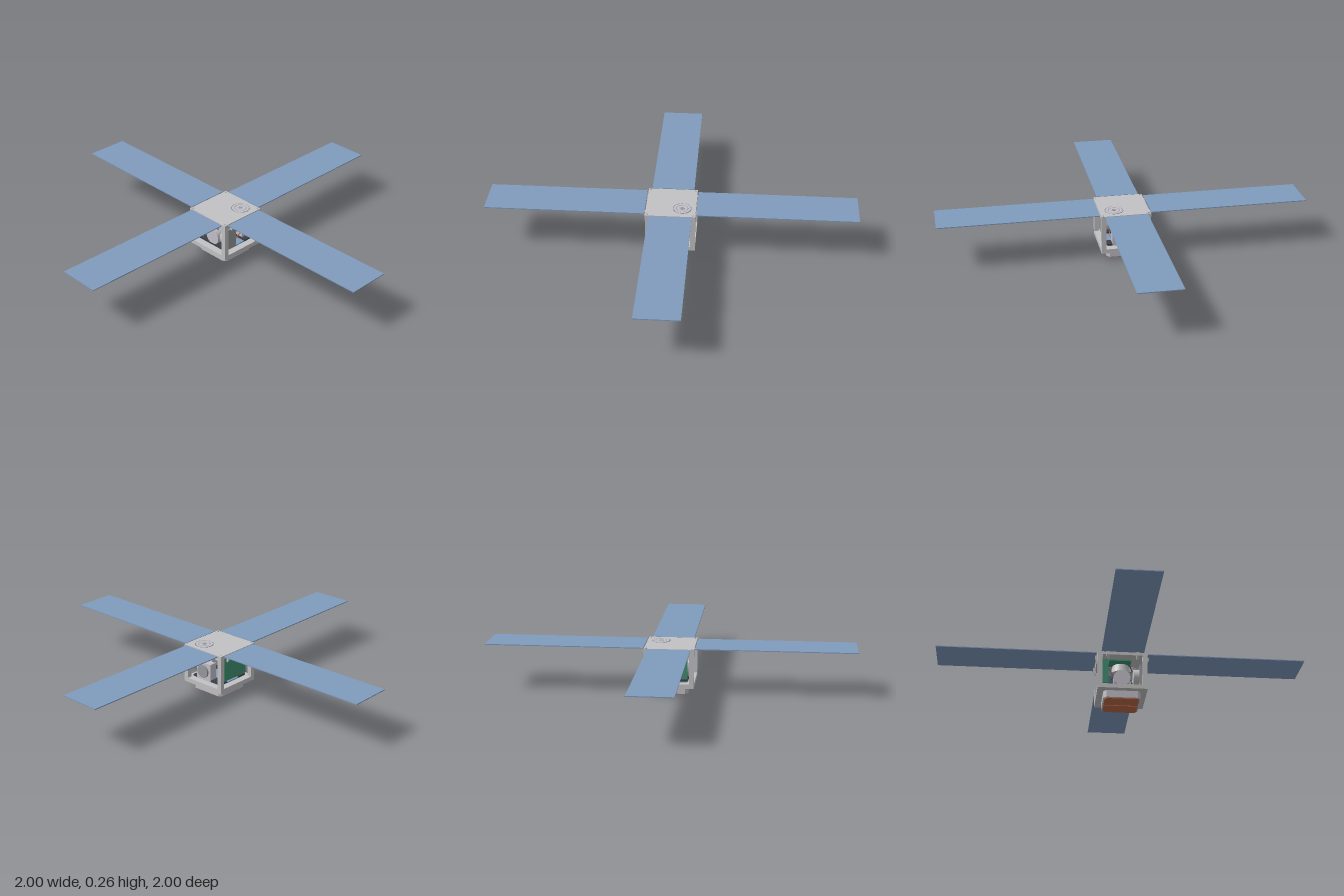
import * as THREE from 'three';

const mat = (name, color, side = THREE.FrontSide) => {
  const m = new THREE.MeshStandardMaterial({ color, side });
  m.name = name;
  return m;
};

export function createModel() {
  const root = new THREE.Group();
  root.name = 'cubeSatellite';
  const grey = mat('aluminium', 0xc2c2c4);
  const pale = mat('paleGrey', 0xc2bfc7);
  const steel = mat('steelGrey', 0x96989c);
  const blue = mat('solarBlue', 0x809bbd);
  const green = mat('boardGreen', 0x3f8f70);
  const copper = mat('copperBrown', 0xb9694a);
  const dark = mat('darkGrey', 0x3c3f44);
  const orange = mat('wireOrange', 0xc8643c);

  const add = (name, geo, m, x = 0, y = 0, z = 0, parent = root) => {
    const mesh = new THREE.Mesh(geo, m);
    mesh.name = name;
    mesh.position.set(x, y, z);
    parent.add(mesh);
    return mesh;
  };
  const box = (name, m, w, h, d, x, y, z, parent) =>
    add(name, new THREE.BoxGeometry(w, h, d), m, x, y, z, parent);
  const cyl = (name, m, r, h, x, y, z, axis = 'y', r2 = r) => {
    const c = add(name, new THREE.CylinderGeometry(r, r2, h, 40), m, x, y, z);
    if (axis === 'z') c.rotation.x = Math.PI / 2;
    if (axis === 'x') c.rotation.z = -Math.PI / 2;
    return c;
  };
  const wire = (name, m, pts, r = 0.0025) => add(name, new THREE.TubeGeometry(
    new THREE.CatmullRomCurve3(pts.map(p => new THREE.Vector3(...p))), 24, r, 8), m);

  // Open frame with lids
  box('bottomDeck', grey, 0.268, 0.024, 0.268, 0, 0.056, 0);
  box('topDeck', grey, 0.268, 0.02, 0.268, 0, 0.25, 0);
  for (const x of [-1, 1]) for (const z of [-1, 1]) {
    box('cornerPost', grey, 0.026, 0.172, 0.026, x * 0.121, 0.154, z * 0.121);
    cyl('deckScrew', steel, 0.004, 0.002, x * 0.122, 0.2608, z * 0.122);
  }

  // Four deployed arms, each with hinges beneath its root
  for (let i = 0; i < 4; i++) {
    const arm = new THREE.Group();
    arm.name = 'solarArm';
    arm.rotation.y = i * Math.PI / 2;
    root.add(arm);
    box('solarPanel', blue, 0.861, 0.005, 0.23, 0.5695, 0.257, 0, arm);
    for (const z of [-0.08, 0.08]) {
      const s = new THREE.Shape();
      s.moveTo(0.13, 0.216);
      s.lineTo(0.136, 0.216);
      s.lineTo(0.146, 0.235);
      s.lineTo(0.146, 0.254);
      s.lineTo(0.13, 0.254);
      s.closePath();
      add('hinge', new THREE.ExtrudeGeometry(s, { depth: 0.014, bevelEnabled: false }),
        grey, 0, 0, z - 0.007, arm);
    }
  }

  // Bevelled base block with twin copper antenna plates
  const base = new THREE.Shape();
  const a = 0.1, c = 0.084;
  [[a, c], [c, a], [-c, a], [-a, c], [-a, -c], [-c, -a], [c, -a], [a, -c]]
    .forEach(([x, z], i) => i ? base.lineTo(x, z) : base.moveTo(x, z));
  base.closePath();
  const baseGeo = new THREE.ExtrudeGeometry(base, { depth: 0.04, bevelEnabled: false });
  baseGeo.rotateX(-Math.PI / 2);
  add('baseBlock', baseGeo, pale, 0, 0.005, 0);
  for (const s of [-1, 1]) {
    const plate = new THREE.Shape();
    [[-0.093, 0.004], [0.093, 0.004], [0.093, 0.08], [0.08, 0.093], [-0.08, 0.093], [-0.093, 0.08]]
      .forEach(([x, z], i) => i ? plate.lineTo(x, z) : plate.moveTo(x, z));
    plate.closePath();
    const g = new THREE.ExtrudeGeometry(plate, { depth: 0.005, bevelEnabled: false });
    g.rotateX(-Math.PI / 2);
    add('antennaPlate', g, copper).rotation.y = s > 0 ? 0 : Math.PI;
  }

  // Round aperture in the top deck
  const ax = 0.055, az = -0.06;
  for (const [r, t] of [[0.048, 0.0025], [0.031, 0.0025], [0.014, 0.002]]) {
    const ring = add('apertureRing', new THREE.TorusGeometry(r, t, 8, 48), steel, ax, 0.26, az);
    ring.rotation.x = Math.PI / 2;
  }
  cyl('apertureCap', pale, 0.046, 0.002, ax, 0.2608, az);
  cyl('apertureHub', steel, 0.011, 0.003, ax, 0.2615, az);
  cyl('apertureHousing', pale, 0.048, 0.035, ax, 0.2225, az);

  // Circuit boards
  box('sideBoard', green, 0.034, 0.14, 0.17, -0.09, 0.16, 0.01);
  box('upperBoard', green, 0.12, 0.008, 0.08, -0.01, 0.224, 0.06);
  box('floorBoard', blue, 0.19, 0.006, 0.19, 0, 0.071, 0);
  for (const z of [-0.075, 0.075])
    box('floorRail', dark, 0.2, 0.008, 0.05, 0, 0.078, z);

  // Momentum wheels on three axes and their brackets
  cyl('frontWheel', pale, 0.045, 0.06, 0, 0.123, 0.068, 'z');
  cyl('frontWheelMotor', steel, 0.03, 0.025, 0, 0.123, 0.028, 'z');
  cyl('upperWheel', grey, 0.045, 0.045, -0.002, 0.195, 0.025, 'y', 0.055);
  cyl('sideWheel', grey, 0.043, 0.035, 0.08, 0.14, 0.06, 'x');
  box('sideBracket', steel, 0.012, 0.12, 0.08, 0.1, 0.14, 0.064);
  box('rearUnit', pale, 0.1, 0.1, 0.044, 0.02, 0.124, -0.082);
  cyl('rearWheel', steel, 0.036, 0.012, 0.02, 0.125, -0.108, 'z');

  // Cable loom
  wire('darkCable', dark, [[0.05, 0.23, 0.02], [0.07, 0.17, 0], [0.05, 0.12, -0.03], [0.03, 0.08, -0.01]]);
  wire('darkCable', dark, [[-0.07, 0.21, 0.03], [-0.05, 0.16, 0.05], [-0.055, 0.11, 0.06], [-0.03, 0.08, 0.07]]);
  wire('darkCable', dark, [[0.02, 0.23, -0.02], [0.06, 0.19, 0.02], [0.09, 0.2, 0.03]]);
  wire('orangeCable', orange, [[0.06, 0.1, 0.03], [0.07, 0.088, 0], [0.06, 0.095, -0.03], [0.06, 0.11, -0.06]]);

  return root;
}
